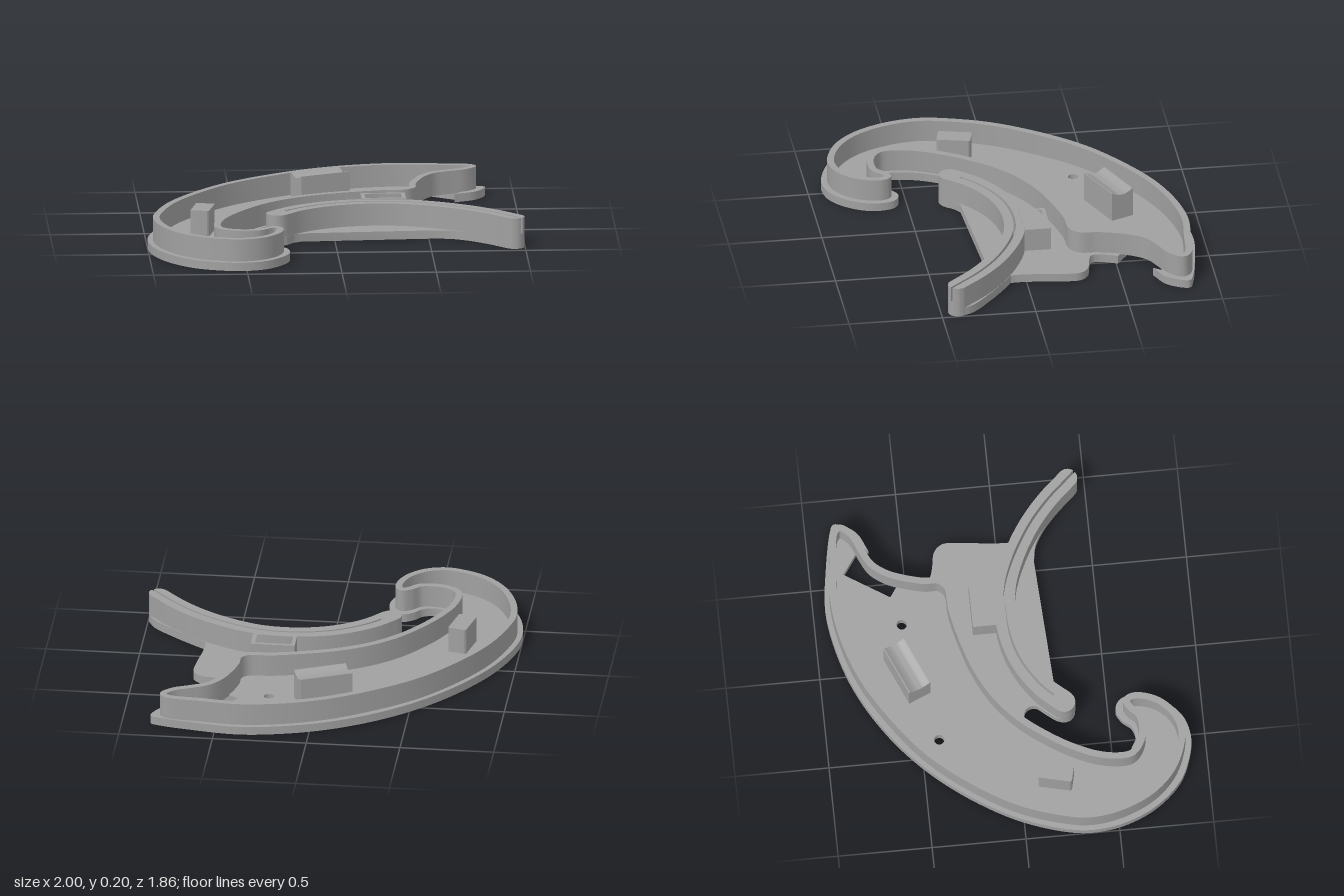
import * as THREE from 'three';
import { toCreasedNormals } from 'three/addons/utils/BufferGeometryUtils.js';

// Plan points are [x, z] pairs; smooth curves run through them.
const curve = (pts, closed = false) => new THREE.CatmullRomCurve3(
  pts.map(([x, z]) => new THREE.Vector3(x, 0, z)), closed, 'centripetal');
const smooth = (pts) => curve(pts).getPoints(pts.length * 5).map((p) => [p.x, p.z]);
const plan = (pts) => pts.map(([x, z]) => new THREE.Vector2(x, -z));

// Points beside a curve at a sideways distance given by a function of t
function beside(c, n, dist) {
  const out = [];
  for (let i = 0; i <= n; i++) {
    const p = c.getPoint(i / n), t = c.getTangent(i / n), d = dist(i / n);
    out.push([p.x - t.z * d, p.z + t.x * d]);
  }
  return out;
}

// Flat shape raised from y0 to y1
function slab(outline, holes, y0, y1) {
  const shape = new THREE.Shape(plan(outline));
  holes.forEach((h) => shape.holes.push(new THREE.Path(plan(h))));
  const g = new THREE.ExtrudeGeometry(shape, { depth: y1 - y0, bevelEnabled: false });
  g.rotateX(-Math.PI / 2).translate(0, y0, 0);
  return toCreasedNormals(g, 0.55);
}

const circle = (x, z, r, n = 28) => Array.from({ length: n }, (_, i) => {
  const a = (i / n) * Math.PI * 2;
  return [x + r * Math.cos(a), z + r * Math.sin(a)];
});
const rect = (x0, x1, z0, z1) => [[x0, z0], [x1, z0], [x1, z1], [x0, z1]];

export function createModel() {
  const model = new THREE.Group();
  const grey = new THREE.MeshStandardMaterial({ color: 0xa0a0a0 });
  grey.name = 'plain grey';
  const add = (name, geometry) => {
    const m = new THREE.Mesh(geometry, grey);
    m.name = name;
    model.add(m);
    return m;
  };

  // Base plate: crescent back edge and curled hook
  const crescentEdge = smooth([
    [0.68, -0.675], [0.79, -0.73], [0.845, -0.82], [0.845, -0.85], [0.8, -0.87], [0.6, -0.91],
    [0.37, -0.935], [0.136, -0.9], [-0.1, -0.82], [-0.345, -0.68], [-0.56, -0.5], [-0.745, -0.28],
    [-0.89, -0.04], [-0.975, 0.19], [-1, 0.35], [-0.975, 0.535], [-0.895, 0.71], [-0.77, 0.845],
    [-0.64, 0.905], [-0.53, 0.925], [-0.41, 0.895], [-0.31, 0.8], [-0.26, 0.68], [-0.28, 0.57],
    [-0.34, 0.54], [-0.4, 0.57], [-0.44, 0.615], [-0.505, 0.632], [-0.56, 0.605]]);
  // small bite beside the hook
  const bite = [[-0.575, 0.615], [-0.6, 0.615], [-0.618, 0.6], [-0.615, 0.575], [-0.595, 0.575]];
  // inner edge, gap and blunt end of the arm
  const gapEdge = smooth([
    [-0.6, 0.53], [-0.58, 0.42], [-0.525, 0.295], [-0.45, 0.19], [-0.385, 0.105], [-0.365, 0.068],
    [-0.33, 0.055], [-0.285, 0.075], [-0.275, 0.12], [-0.32, 0.18], [-0.36, 0.24], [-0.355, 0.3],
    [-0.31, 0.328], [-0.26, 0.31], [-0.22, 0.26], [-0.18, 0.232]]);
  // under the arm and round its far end
  const armEdge = smooth([
    [0.535, 0.192], [0.63, 0.21], [0.75, 0.285], [0.86, 0.39], [0.92, 0.45], [0.965, 0.455],
    [0.99, 0.41], [0.965, 0.335], [0.83, 0.21], [0.725, 0.13], [0.66, 0.085]]);
  const sideEdge = smooth([
    [0.655, 0.06], [0.66, -0.03], [0.68, -0.19], [0.68, -0.285], [0.64, -0.33], [0.55, -0.35],
    [0.495, -0.37], [0.485, -0.41], [0.52, -0.51]]);
  const notch = [[0.41, -0.585], [0.56, -0.82], [0.71, -0.715]];
  add('basePlate', slab(
    [...crescentEdge, ...bite, ...gapEdge, ...armEdge, ...sideEdge, ...notch],
    [circle(-0.415, -0.405, 0.027), circle(0.25, -0.54, 0.027), circle(-0.04, -0.54, 0.05)],
    0, 0.045));

  // Thin raised wall around the crescent
  const wallLine = curve([
    [0.783, -0.818], [0.757, -0.85], [0.58, -0.872], [0.372, -0.89], [0.147, -0.856],
    [-0.083, -0.775], [-0.318, -0.636], [-0.527, -0.47], [-0.703, -0.262], [-0.848, -0.027],
    [-0.928, 0.198], [-0.954, 0.348], [-0.928, 0.519], [-0.853, 0.684], [-0.746, 0.797],
    [-0.628, 0.856], [-0.532, 0.874], [-0.43, 0.845], [-0.35, 0.77], [-0.313, 0.68],
    [-0.313, 0.625], [-0.334, 0.598], [-0.372, 0.615], [-0.42, 0.658], [-0.495, 0.668],
    [-0.57, 0.652], [-0.628, 0.604], [-0.639, 0.535], [-0.618, 0.417], [-0.559, 0.283],
    [-0.479, 0.155], [-0.377, 0.027], [-0.238, -0.091], [-0.078, -0.176], [0.083, -0.23],
    [0.27, -0.273], [0.393, -0.283], [0.436, -0.326], [0.441, -0.401], [0.468, -0.508],
    [0.505, -0.599], [0.564, -0.674], [0.644, -0.717], [0.735, -0.759]], true);
  const sideA = beside(wallLine, 264, () => 0.018).slice(0, -1);
  const sideB = beside(wallLine, 264, () => -0.018).slice(0, -1);
  const area = (pts) => Math.abs(THREE.ShapeUtils.area(plan(pts)));
  const [outer, inner] = area(sideA) > area(sideB) ? [sideA, sideB] : [sideB, sideA];
  add('crescentWall', slab(outer, [inner], 0.04, 0.165));

  // Curved arm with rounded ends and a narrow groove along its top
  const armLine = curve([
    [-0.307, 0.27], [-0.21, 0.165], [-0.067, 0.072], [0.072, 0.024], [0.217, 0.008],
    [0.372, 0.024], [0.537, 0.085], [0.703, 0.182], [0.832, 0.289], [0.945, 0.41]]);
  const half = (t) => 0.06 - 0.008 * t;
  // Arc about one end, from angle a0 to a1 measured off the curve direction
  const cap = (t, a0, a1) => Array.from({ length: 9 }, (_, i) => {
    const p = armLine.getPoint(t), d = armLine.getTangent(t), r = half(t);
    const a = Math.atan2(d.z, d.x) + a0 + ((a1 - a0) * i) / 8;
    return [p.x + r * Math.cos(a), p.z + r * Math.sin(a)];
  });
  const H = Math.PI / 2;
  const armBody = [
    ...cap(1, 0.12, H), ...beside(armLine, 60, half).reverse().slice(1, -1),
    ...cap(0, H, 3 * H), ...beside(armLine, 60, (t) => -half(t)).slice(1, -1),
    ...cap(1, -H, -0.12)];
  const grooveLine = curve(armLine.getPoints(60).slice(3).map((p) => [p.x, p.z]));
  const groove = [
    ...beside(grooveLine, 60, () => -0.006).reverse(), ...beside(grooveLine, 60, () => 0.006)];
  add('armLower', slab(armBody, [], 0, 0.08));
  add('armUpper', slab([...armBody, ...groove], [], 0.08, 0.165));

  // Open rectangular socket
  add('socketFrame', slab(rect(0.155, 0.39, -0.17, -0.03), [rect(0.175, 0.368, -0.15, -0.052)], 0.04, 0.17));

  // Small block in the lower crescent
  const small = new THREE.Shape();
  const w = 0.05, l = 0.09, r = 0.012;
  small.moveTo(-w + r, -l).lineTo(w - r, -l).quadraticCurveTo(w, -l, w, -l + r)
    .lineTo(w, l - r).quadraticCurveTo(w, l, w - r, l)
    .lineTo(-w + r, l).quadraticCurveTo(-w, l, -w, l - r)
    .lineTo(-w, -l + r).quadraticCurveTo(-w, -l, -w + r, -l);
  const smallGeo = new THREE.ExtrudeGeometry(small, { depth: 0.145, bevelEnabled: false });
  smallGeo.rotateX(-H);
  const smallBlock = add('smallBlock', toCreasedNormals(smallGeo, 0.9));
  smallBlock.position.set(-0.7, 0.04, 0.19);
  smallBlock.rotation.y = -0.23;

  // Cradle block with a hollowed top
  const cradle = new THREE.Shape();
  cradle.moveTo(-0.065, 0.03).lineTo(0.065, 0.03).lineTo(0.065, 0.205).lineTo(0.058, 0.205)
    .quadraticCurveTo(0, 0.165, -0.058, 0.205).lineTo(-0.065, 0.205);
  const cradleGeo = new THREE.ExtrudeGeometry(cradle, { depth: 0.285, bevelEnabled: false });
  cradleGeo.translate(0, 0, -0.1425).rotateY(H);
  const cradleBlock = add('cradleBlock', toCreasedNormals(cradleGeo, 0.4));
  cradleBlock.position.set(-0.04, 0, -0.54);
  cradleBlock.rotation.y = 0.405;

  return model;
}
